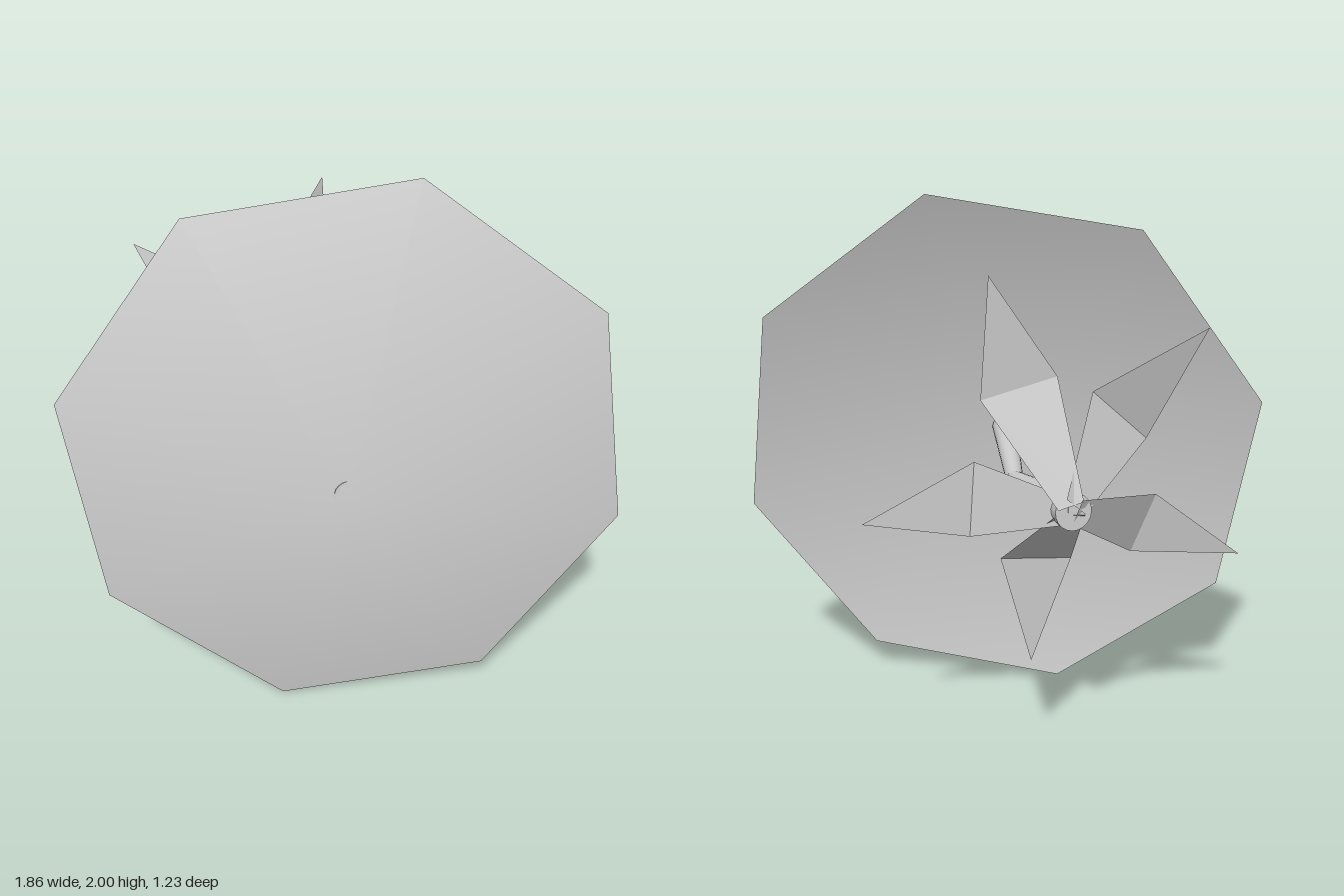
import * as THREE from 'three';

const vec = (p) => new THREE.Vector3(...p);

function surface(points, index, material, name) {
  const geometry = new THREE.BufferGeometry();
  geometry.setAttribute('position', new THREE.Float32BufferAttribute(points.flat(), 3));
  geometry.setIndex(index);
  geometry.computeVertexNormals();
  const mesh = new THREE.Mesh(geometry, material);
  mesh.name = name;
  return mesh;
}

// Tapered round section between two points
function section(from, to, r0, r1, material, name) {
  const a = vec(from), b = vec(to);
  const axis = b.clone().sub(a);
  const mesh = new THREE.Mesh(new THREE.CylinderGeometry(r1, r0, axis.length(), 20), material);
  mesh.position.copy(a).add(b).multiplyScalar(0.5);
  mesh.quaternion.setFromUnitVectors(new THREE.Vector3(0, 1, 0), axis.normalize());
  mesh.name = name;
  return mesh;
}

export function createModel() {
  const group = new THREE.Group();
  const grey = new THREE.MeshStandardMaterial({ color: 0xcccccc, side: THREE.DoubleSide });
  grey.name = 'light grey';
  const facetGrey = grey; // petals get split vertices instead of another material

  // Wide shallow eight-sided bloom, open at the back
  const rim = [
    [0.27, 2, 0.21], [-0.465, 1.88, -0.05], [-0.93, 1.245, -0.135], [-0.85, 0.47, 0],
    [-0.27, 0, 0.275], [0.46, 0.125, 0.535], [0.93, 0.76, 0.62], [0.85, 1.54, 0.485],
  ];
  const fan = rim.flatMap((_, i) => [0, i + 1, ((i + 1) % rim.length) + 1]);
  group.add(surface([[-0.105, 1.035, 0.505], ...rim], fan, grey, 'bloom'));

  // Bent stem
  const bend = [0, 0.987, -0.03];
  group.add(section([-0.095, 1.05, 0.485], bend, 0.05, 0.032, grey, 'stemFront'));
  group.add(section(bend, [-0.045, 1.045, -0.595], 0.032, 0.063, grey, 'stemBack'));

  // Five folded petals: two fold corners and a tip each
  const petals = [
    [[-0.03, 1.46, -0.45], [0.23, 1.4, -0.468], [0.2, 1.79, -0.46]],
    [[0.22, 1.155, -0.325], [0.24, 0.895, -0.338], [0.605, 0.97, -0.335]],
    [[0.13, 0.8, -0.328], [-0.12, 0.785, -0.345], [0.02, 0.4, -0.335]],
    [[-0.32, 0.81, -0.4], [-0.4, 1.02, -0.42], [-0.735, 0.76, -0.4]],
    [[-0.36, 1.22, -0.41], [-0.155, 1.4, -0.44], [-0.515, 1.61, -0.535]],
  ];
  const heart = new THREE.Vector3(-0.04, 1.05, -0.612);
  petals.forEach(([l, r, tip], i) => {
    const across = vec(l).sub(vec(r)).normalize().multiplyScalar(0.045);
    const outward = vec(l).add(vec(r)).multiplyScalar(0.5).sub(heart).normalize();
    const base = heart.clone().addScaledVector(outward, 0.02);
    const bl = base.clone().add(across).toArray();
    const br = base.clone().sub(across).toArray();
    // Separate corners for each half keep the fold crisp
    group.add(surface([bl, l, r, br, l, tip, r], [0, 1, 2, 0, 2, 3, 4, 5, 6], facetGrey, `petal${i + 1}`));
  });
  return group;
}
